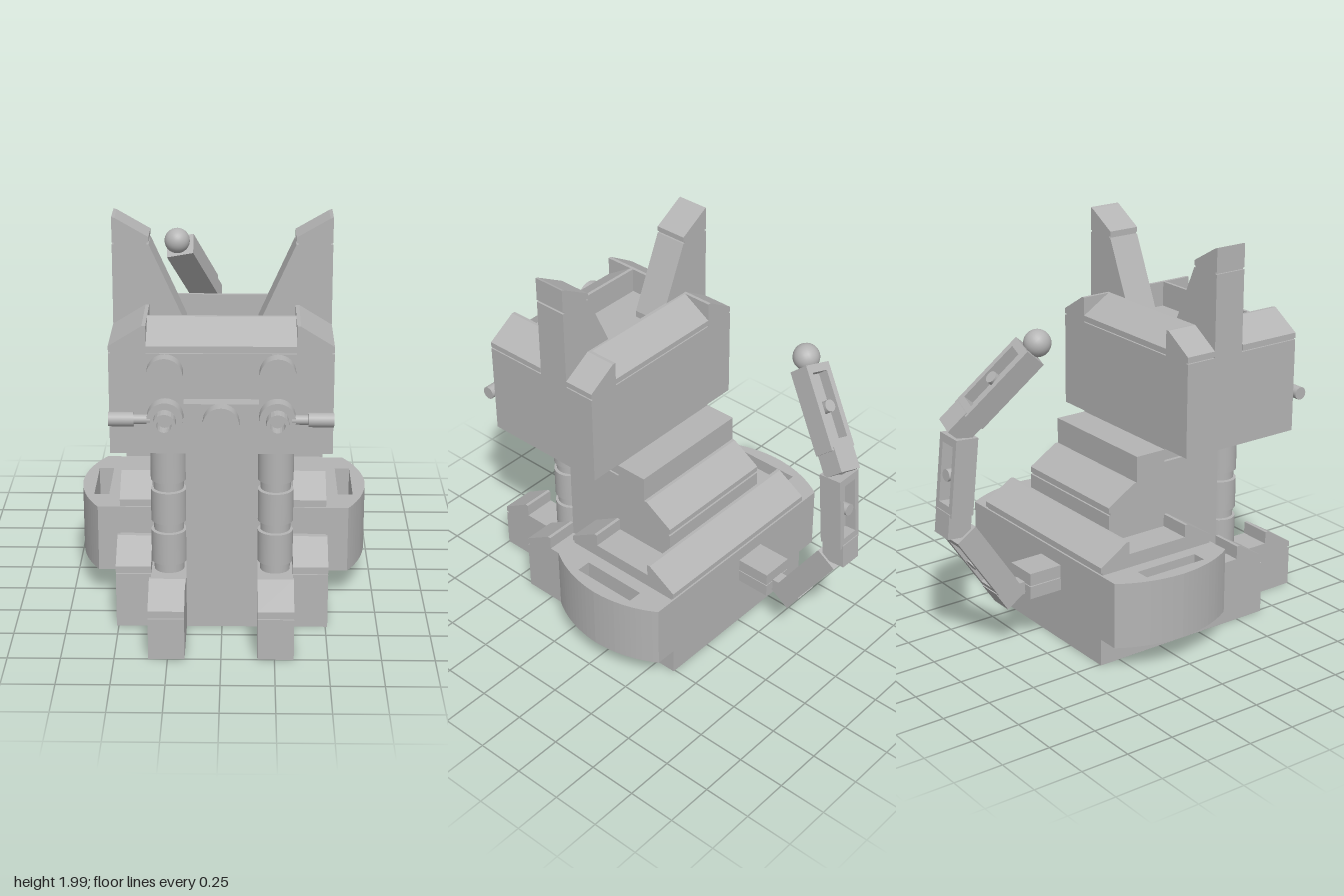
import * as THREE from 'three';

const U = 0.17; // width of one brick unit
const grey = new THREE.MeshStandardMaterial({ color: 0xb4b4b4 });
grey.name = 'grey';

function add(parent, name, geometry) {
  const mesh = new THREE.Mesh(geometry, grey);
  mesh.name = name;
  parent.add(mesh);
  return mesh;
}

// Box given by its bounds
function box(parent, name, x0, x1, y0, y1, z0, z1) {
  const g = new THREE.BoxGeometry(x1 - x0, y1 - y0, z1 - z0);
  return add(parent, name, g.translate((x0 + x1) / 2, (y0 + y1) / 2, (z0 + z1) / 2));
}

function extrude(points, depth) {
  const shape = new THREE.Shape(points.map(([x, y]) => new THREE.Vector2(x, y)));
  return new THREE.ExtrudeGeometry(shape, { depth, bevelEnabled: false });
}

// Hollow ring standing along y from y0 to y1
function ringGeometry(rOut, rIn, h) {
  const s = new THREE.Shape().absarc(0, 0, rOut, 0, Math.PI * 2);
  s.holes.push(new THREE.Path().absarc(0, 0, rIn, 0, Math.PI * 2, true));
  return new THREE.ExtrudeGeometry(s, { depth: h, bevelEnabled: false, curveSegments: 10 });
}
function tube(parent, name, x, z, r, y0, y1) {
  add(parent, name, ringGeometry(r, r * 0.68, y1 - y0).rotateX(-Math.PI / 2).translate(x, y0, z));
}

// Brick open at the bottom: walls and a ceiling
function hollow(parent, name, x0, x1, y0, y1, z0, z1) {
  const w = 0.03, t = 0.03, g = new THREE.Group();
  g.name = name;
  parent.add(g);
  box(g, 'ceiling', x0, x1, y1 - t, y1, z0, z1);
  for (const [a, b] of [[x0, x0 + w], [x1 - w, x1]]) box(g, 'sideWall', a, b, y0, y1 - t, z0, z1);
  for (const [a, b] of [[z0, z0 + w], [z1 - w, z1]]) box(g, 'endWall', x0 + w, x1 - w, y0, y1 - t, a, b);
  return g;
}

// Small wedge tile falling towards +x before it is turned by angle
function slope(parent, name, x, y, z, width, angle) {
  const g = extrude([[-0.085, 0], [0.075, 0], [0.075, 0.012], [0.085, 0.012], [0.085, 0.04],
    [-0.068, 0.135], [-0.085, 0.135]], width);
  add(parent, name, g.translate(0, 0, -width / 2).rotateY(angle).translate(x, y, z));
}
const FRONT = -Math.PI / 2, BACK = Math.PI / 2;

function buildBase(root) {
  const base = new THREE.Group();
  base.name = 'base';
  root.add(base);
  // Two wide hollow bricks with tubes
  for (const [z0, z1] of [[-0.36, -0.02], [-0.02, 0.32]]) {
    hollow(base, 'baseBrick', -0.51, 0.51, 0, 0.205, z0, z1);
    for (let i = -2; i <= 2; i++) tube(base, 'baseTube', i * U, (z0 + z1) / 2, 0.05, 0.005, 0.18);
  }
  hollow(base, 'chestBase', -U, U, 0, 0.205, 0.32, 0.66);
  tube(base, 'chestTube', 0, 0.49, 0.05, 0.005, 0.18);
  for (const s of [-1, 1]) {
    const span = (a, b) => (s > 0 ? [a, b] : [-b, -a]);
    const inner = span(U, 2 * U), outer = span(2 * U, 3 * U);
    hollow(base, 'frontLeg', ...inner, 0, 0.205, 0.32, 1);
    hollow(base, 'sideLeg', ...outer, 0, 0.205, 0.32, 0.66);
    for (const z of [0.49, 0.66, 0.83]) tube(base, 'legPin', s * 0.255, z, 0.03, 0.005, 0.18);
    tube(base, 'legPin', s * 0.425, 0.49, 0.03, 0.005, 0.18);
    // Paws
    slope(base, 'frontPaw', s * 0.255, 0.205, 0.915, U, FRONT);
    box(base, 'pawPlate', ...inner, 0.205, 0.275, 0.49, 0.83);
    box(base, 'sidePawPlate', ...outer, 0.205, 0.275, 0.32, 0.66);
    box(base, 'sidePawPlate', ...outer, 0.275, 0.34, 0.32, 0.49);
    slope(base, 'sidePaw', s * 0.425, 0.275, 0.575, U, FRONT);
    // Haunch tops
    slope(base, 'haunchSlope', s * 0.425, 0.48, 0.235, U, FRONT);
    box(base, 'haunchPlate', ...outer, 0.48, 0.55, -0.19, 0.15);
    // Curved haunch with a slot through it and two side studs
    const shape = new THREE.Shape([[0.51, -0.36], [0.62, -0.36]].map((p) => new THREE.Vector2(...p)));
    shape.quadraticCurveTo(0.715, -0.21, 0.72, -0.02);
    shape.quadraticCurveTo(0.715, 0.17, 0.62, 0.32);
    shape.lineTo(0.51, 0.32);
    shape.holes.push(new THREE.Path([[0.575, -0.2], [0.575, 0.15], [0.65, 0.15], [0.65, -0.2]]
      .map((p) => new THREE.Vector2(...p))));
    const g = new THREE.ExtrudeGeometry(shape, { depth: 0.34, bevelEnabled: false });
    g.rotateX(Math.PI / 2).translate(0, 0.48, 0);
    if (s < 0) g.rotateY(Math.PI).translate(0, 0, -0.04);
    add(base, 'curvedHaunch', g);
    for (const z of [-0.115, 0.065]) {
      add(base, 'haunchStud', new THREE.CylinderGeometry(0.05, 0.05, 0.045, 20)
        .rotateZ(Math.PI / 2).translate(s * 0.595, 0.31, z));
    }
  }
}

function buildBody(root) {
  const body = new THREE.Group();
  body.name = 'body';
  root.add(body);
  box(body, 'lowerBody', -0.51, 0.51, 0.205, 0.41, -0.36, 0.32);
  box(body, 'lowerBodyPlate', -0.51, 0.51, 0.41, 0.48, -0.36, 0.32);
  box(body, 'bodyFront', -0.34, 0.34, 0.205, 0.48, 0.32, 0.49);
  box(body, 'middleBody', -0.34, 0.34, 0.48, 0.69, -0.19, 0.49);
  box(body, 'upperBody', -0.34, 0.34, 0.69, 0.895, -0.02, 0.49);
  box(body, 'shoulderPlate', -0.34, 0.34, 0.895, 0.96, -0.02, 0.15);
  box(body, 'neck', -0.34, 0.34, 0.905, 0.99, 0.15, 0.66);
  for (const [y0, y1] of [[0.205, 0.275], [0.275, 0.69], [0.69, 0.905]]) box(body, 'chest', -U, U, y0, y1, 0.49, 0.66);
  // Back slopes
  for (let i = 0; i < 6; i++) {
    const x = (i - 2.5) * U;
    slope(body, 'rumpSlope', x, 0.48, -0.275, U, BACK);
    if (i > 0 && i < 5) slope(body, 'backSlope', x, 0.69, -0.105, U, BACK);
  }
  // Front legs made of stacked round bricks with a narrow foot
  for (const s of [-1, 1]) {
    for (let i = 0; i < 3; i++) {
      const y = 0.275 + i * 0.21;
      const pts = [[0, 0], [0.072, 0], [0.072, 0.045], [0.085, 0.045], [0.085, 0.205], [0, 0.205]];
      for (let k = 1; k < pts.length; k++) {
        const g = new THREE.LatheGeometry([pts[k - 1], pts[k]].map((p) => new THREE.Vector2(...p)), 28);
        add(body, 'roundLeg', g.translate(s * 0.255, y, 0.575));
      }
    }
  }
}

function buildHead(root) {
  const head = new THREE.Group();
  head.name = 'head';
  root.add(head);
  hollow(head, 'headBottom', -0.51, 0.51, 0.965, 1.035, 0.15, 0.83);
  box(head, 'lowerHead', -0.51, 0.51, 1.035, 1.235, 0.15, 0.83);
  box(head, 'upperHead', -0.51, 0.51, 1.235, 1.445, 0.15, 0.83);
  for (let i = 0; i < 4; i++) {
    const z = 0.235 + i * U;
    for (const s of [-1, 1]) tube(head, 'headTube', s * 0.425, z, 0.045, 0.97, 1.01);
    tube(head, 'headTube', (i - 1.5) * U, 0.745, 0.045, 0.97, 1.01);
    slope(head, 'foreheadSlope', (i - 1.5) * U, 1.44, 0.745, U, FRONT);
    slope(head, 'napeSlope', (i - 1.5) * U, 1.44, 0.235, U, BACK);
  }
  const disc = (name, x, y, z0, z1, r) => add(head, name,
    new THREE.CylinderGeometry(r, r, z1 - z0, 32).rotateX(Math.PI / 2).translate(x, y, (z0 + z1) / 2));
  box(head, 'muzzle', -U, U, 1.04, 1.23, 0.83, 0.9);
  disc('nose', 0, 1.15, 0.9, 0.965, 0.083);
  for (const s of [-1, 1]) {
    const side = s > 0 ? 0 : Math.PI;
    for (const z of [0.575, 0.745, 0.235]) slope(head, 'crownSlope', s * 0.425, 1.44, z, U, side);
    // Ear
    const place = (g) => g.translate(0, 0, -U / 2).rotateY(side).translate(0, 0, 0.4);
    add(head, 'ear', place(extrude([[0.17, 1.445], [0.51, 1.445], [0.51, 1.86], [0.34, 1.86], [0.17, 1.48]], U)));
    add(head, 'earTip', place(extrude([[0.35, 1.86], [0.5, 1.86], [0.5, 1.87], [0.51, 1.87],
      [0.51, 1.99], [0.495, 1.985], [0.34, 1.895], [0.34, 1.87], [0.35, 1.87]], U)));
    // Eye, whisker holder and whisker
    disc('eye', s * 0.255, 1.36, 0.83, 0.9, 0.083);
    disc('whiskerDisc', s * 0.255, 1.15, 0.83, 0.9, 0.083);
    add(head, 'whiskerRing', ringGeometry(0.052, 0.034, 0.065).translate(s * 0.255, 1.15, 0.9));
    const bar = (name, x0, x1, r) => add(head, name, new THREE.CylinderGeometry(r, r, x1 - x0, 20)
      .rotateZ(Math.PI / 2).translate(s * (x0 + x1) / 2, 1.15, 0.88));
    bar('whiskerStem', 0.32, 0.41, 0.022);
    bar('whisker', 0.395, 0.51, 0.033);
  }
}

// One tail link from a to b: socket, two-layer bar with an open frame, pin and ball
function tailLink(parent, a, b, last) {
  const g = new THREE.Group();
  g.name = 'tailLink';
  const d = b.clone().sub(a), len = d.length();
  d.normalize();
  const z = new THREE.Vector3(1, 0, 0).cross(d).normalize();
  g.quaternion.setFromRotationMatrix(new THREE.Matrix4().makeBasis(d.clone().cross(z), d, z));
  g.position.copy(a);
  parent.add(g);
  const w = 0.072, y0 = 0.06, y1 = len - 0.05;
  box(g, 'socket', -0.06, 0.06, -0.05, 0.075, -0.065, 0.06);
  box(g, 'linkBack', -w, w, y0, y1, 0, 0.06);
  const frame = new THREE.Shape([[-w, y0], [w, y0], [w, y1], [-w, y1]].map((p) => new THREE.Vector2(...p)));
  const h = 0.045;
  frame.holes.push(new THREE.Path([[-h, y0 + 0.05], [-h, y1 - 0.04], [h, y1 - 0.04], [h, y0 + 0.05]]
    .map((p) => new THREE.Vector2(...p))));
  add(g, 'linkFrame', new THREE.ExtrudeGeometry(frame, { depth: 0.06, bevelEnabled: false }).translate(0, 0, -0.06));
  add(g, 'linkPin', new THREE.CylinderGeometry(0.03, 0.03, 0.06, 16).rotateX(Math.PI / 2)
    .translate(0, (y0 + y1) / 2, -0.03));
  add(g, 'linkBall', new THREE.SphereGeometry(last ? 0.066 : 0.055, 24, 16).translate(0, len, 0));
}

function buildTail(root) {
  const tail = new THREE.Group();
  tail.name = 'tail';
  root.add(tail);
  box(tail, 'tailPlate', -U, 0, 0.275, 0.34, -0.54, -0.36);
  box(tail, 'tailPlate', -U, 0, 0.345, 0.41, -0.54, -0.36);
  box(tail, 'tailHinge', -0.12, -0.05, 0.285, 0.35, -0.62, -0.53);
  const pts = [[-0.085, 0.32, -0.63], [-0.085, 0.745, -0.915], [-0.095, 1.24, -0.87], [-0.25, 1.615, -0.535]]
    .map((p) => new THREE.Vector3(...p));
  for (let i = 0; i < 3; i++) tailLink(tail, pts[i], pts[i + 1], i === 2);
}

export function createModel() {
  const root = new THREE.Group();
  root.name = 'sittingBrickCat';
  buildBase(root);
  buildBody(root);
  buildHead(root);
  buildTail(root);
  return root;
}
